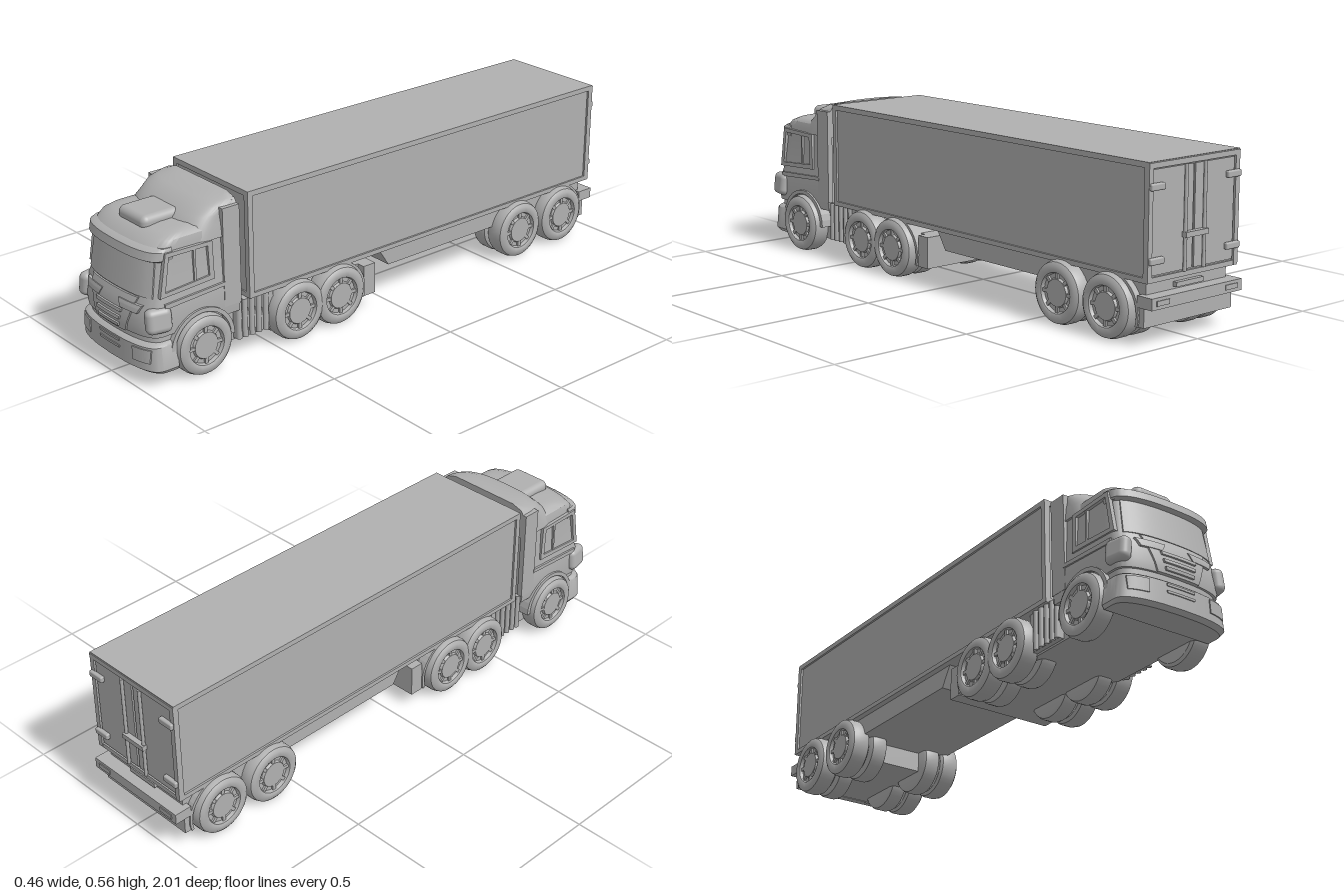
import * as THREE from 'three';
import { toCreasedNormals } from 'three/addons/utils/BufferGeometryUtils.js';
import { RoundedBoxGeometry } from 'three/addons/geometries/RoundedBoxGeometry.js';

const grey = new THREE.MeshStandardMaterial({ color: 0xb0b0b0 });
grey.name = 'plain grey';

// Cab plan sections: [y, half width, front z]
const NOSE = [[0.05, 0.205, 0.985], [0.062, 0.212, 1.0], [0.14, 0.203, 1.0], [0.146, 0.198, 0.993], [0.15, 0.188, 0.983], [0.175, 0.188, 0.983]];
const CAB = [[0.17, 0.196, 0.99], [0.2, 0.199, 0.993], [0.26, 0.198, 0.985], [0.295, 0.193, 0.972], [0.415, 0.187, 0.952],
  [0.455, 0.186, 0.945], [0.475, 0.182, 0.925], [0.488, 0.168, 0.895], [0.494, 0.14, 0.85]];
const VISOR = [[0.415, 0.188, 0.966], [0.42, 0.191, 0.974], [0.448, 0.192, 0.968], [0.456, 0.188, 0.955]];
const DEFLECTOR = [[0.44, 0.194, 0.83], [0.485, 0.189, 0.81], [0.51, 0.184, 0.785], [0.535, 0.186, 0.755], [0.55, 0.175, 0.72], [0.562, 0.135, 0.665]];

// Rounded front of a plan section; u runs from -1 to 1 across the width
const frontZ = (u, zF, depth, bow) => zF - depth + depth * Math.pow(Math.max(0, 1 - u ** 4), 0.25) - bow * u * u;

// Closed body through stacked plan sections
function loft(rows, zBack, depth = 0.06, bow = 0.018, n = 28) {
  const pos = [], idx = [], ring = n + 3;
  for (const [y, w, zF] of rows) {
    for (let i = 0; i <= n; i++) {
      const s = Math.sin((i / n - 0.5) * Math.PI);
      const u = Math.sign(s) * Math.sqrt(Math.abs(s));
      pos.push(w * u, y, Math.max(frontZ(u, zF, depth, bow), zBack + 0.002));
    }
    pos.push(w, y, zBack, -w, y, zBack);
  }
  const last = (rows.length - 1) * ring, base = rows.length * ring;
  for (const r of [rows[0], rows[rows.length - 1]]) pos.push(0, r[0], (r[2] + zBack) / 2);
  for (let i = 0; i < ring; i++) {
    const j = (i + 1) % ring;
    for (let k = 0; k < last; k += ring) idx.push(k + i, k + j, k + ring + j, k + i, k + ring + j, k + ring + i);
    idx.push(base, j, i, base + 1, last + i, last + j);
  }
  const g = new THREE.BufferGeometry();
  g.setAttribute('position', new THREE.Float32BufferAttribute(pos, 3));
  g.setIndex(idx);
  return toCreasedNormals(g, 0.6);
}

// Panel wrapped on a lofted front: spans b at the bottom y0 and t at the top y1
function panel(rows, y0, y1, b, t, off) {
  const g = new THREE.BoxGeometry(1, 1, 1, 16, 6, 1), p = g.attributes.position;
  for (let i = 0; i < p.count; i++) {
    const v = p.getY(i) + 0.5, h = p.getX(i) + 0.5, y = y0 + (y1 - y0) * v;
    const l = b[0] + (t[0] - b[0]) * v, r = b[1] + (t[1] - b[1]) * v, x = l + (r - l) * h;
    let k = 0;
    while (k < rows.length - 2 && rows[k + 1][0] < y) k++;
    const a = rows[k], c = rows[k + 1], f = (y - a[0]) / (c[0] - a[0]);
    const w = a[1] + (c[1] - a[1]) * f, u = Math.min(1, Math.abs(x) / w);
    p.setXYZ(i, x, y, frontZ(u, a[2] + (c[2] - a[2]) * f, 0.06, 0.018) + (p.getZ(i) > 0 ? off : -0.012));
  }
  return toCreasedNormals(g, 0.6);
}

// Plate in the side plane (points are [z, y]), from x to x + t
function sidePlate(points, x, t, hole) {
  const s = new THREE.Shape(points.map(([z, y]) => new THREE.Vector2(-z, y)));
  if (hole) s.holes.push(new THREE.Path(hole.map(([z, y]) => new THREE.Vector2(-z, y))));
  return new THREE.ExtrudeGeometry(s, { depth: t, bevelEnabled: false }).rotateY(Math.PI / 2).translate(x, 0, 0);
}

export function createModel() {
  const model = new THREE.Group();
  model.name = 'semi truck';
  const add = (name, geo, parent = model) => {
    const m = new THREE.Mesh(geo, grey);
    m.name = name;
    parent.add(m);
    return m;
  };
  // Box given by its minimum and maximum on each axis
  const box = (name, x0, x1, y0, y1, z0, z1, parent) =>
    add(name, new THREE.BoxGeometry(x1 - x0, y1 - y0, z1 - z0).translate((x0 + x1) / 2, (y0 + y1) / 2, (z0 + z1) / 2), parent);
  const pair = (name, x0, x1, y0, y1, z0, z1) => {
    box(name, x0, x1, y0, y1, z0, z1);
    box(name, -x1, -x0, y0, y1, z0, z1);
  };

  // Cab body
  add('bumper', loft(NOSE, 0.885));
  add('cab', loft(CAB, 0.635));
  add('sunVisor', loft(VISOR, 0.88));
  add('roofDeflector', loft(DEFLECTOR, 0.63, 0.11, 0.015));
  add('roofHatch', new RoundedBoxGeometry(0.15, 0.05, 0.145, 4, 0.022).translate(0, 0.495, 0.83));
  pair('cabFairing', 0.18, 0.2, 0.2, 0.535, 0.63, 0.695);

  // Cab front
  add('windscreen', panel(CAB, 0.296, 0.416, [-0.172, 0.172], [-0.165, 0.165], 0.004));
  add('grille', panel(CAB, 0.17, 0.292, [-0.08, 0.08], [-0.125, 0.125], 0.006));
  [0.185, 0.21, 0.236].forEach((y, i) => {
    const w = 0.054 + i * 0.006;
    add('grilleSlat', panel(CAB, y - 0.006, y + 0.005, [-w, w], [-w - 0.003, w + 0.003], 0.013));
  });
  for (const y of [0.107, 0.13]) add('bumperSlat', panel(NOSE, y - 0.004, y + 0.004, [-0.053, 0.053], [-0.055, 0.055], 0.003));
  for (const s of [-1, 1]) {
    const span = (a, b) => (s > 0 ? [a, b] : [-b, -a]);
    add('headlight', panel(CAB, 0.245, 0.272, span(0.06, 0.135), span(0.045, 0.15), 0.009));
    add('fogLamp', panel(NOSE, 0.088, 0.133, span(0.12, 0.186), span(0.118, 0.188), 0.004));
    const corner = add('cornerDeflector', new RoundedBoxGeometry(0.045, 0.082, 0.085, 4, 0.02));
    corner.position.set(s * 0.188, 0.228, 0.94);
    corner.rotation.set(0, -s * 0.2, s * 0.12);
  }

  // Cab sides
  const outer = [[0.935, 0.3], [0.73, 0.31], [0.735, 0.44], [0.91, 0.445]];
  const opening = [[0.915, 0.315], [0.748, 0.326], [0.752, 0.427], [0.898, 0.43]];
  const wheelY = 0.104;
  for (const s of [-1, 1]) {
    const x = (v, t) => (s > 0 ? v : -v - t);
    add('windowFrame', sidePlate(outer, x(0.184, 0.014), 0.014, opening));
    add('windowBar', sidePlate([[0.805, 0.32], [0.797, 0.32], [0.797, 0.43], [0.805, 0.43]], x(0.184, 0.012), 0.012));
    add('doorTrim', sidePlate([[0.92, 0.262], [0.69, 0.275], [0.69, 0.288], [0.92, 0.278]], x(0.19, 0.012), 0.012));
    // Front wheel arch
    const arch = [];
    for (let i = 0; i <= 16; i++) arch.push([0.786 + 0.122 * Math.cos(i * Math.PI / 16), wheelY + 0.122 * Math.sin(i * Math.PI / 16)]);
    for (let i = 16; i >= 0; i--) arch.push([0.786 + 0.108 * Math.cos(i * Math.PI / 16), wheelY + 0.108 * Math.sin(i * Math.PI / 16)]);
    add('wheelArch', sidePlate(arch, x(0.16, 0.046), 0.046));
  }

  // Tractor chassis
  box('tractorChassis', -0.165, 0.165, 0.055, 0.165, 0.07, 0.9);
  box('cabFloor', -0.165, 0.165, 0.16, 0.2, 0.64, 0.9);
  box('chassisEnd', -0.195, 0.195, 0.055, 0.165, 0.065, 0.115);
  box('couplingPlate', -0.1, 0.1, 0.16, 0.205, 0.18, 0.5);
  pair('sideTank', 0.1, 0.182, 0.062, 0.197, 0.49, 0.64);
  for (const z of [0.522, 0.55, 0.578, 0.606, 0.63])
    for (const s of [-1, 1])
      add('tankRib', new THREE.CylinderGeometry(0.01, 0.01, 0.135, 12).translate(s * 0.182, 0.13, z));

  // Wheels: lathe profile is [radius, distance along axle]
  const tyre = (points) => toCreasedNormals(
    new THREE.LatheGeometry(points.map(([r, h]) => new THREE.Vector2(r, h)), 40).rotateZ(-Math.PI / 2), 0.6);
  const outerTyre = tyre([[0, 0.153], [0.09, 0.153], [0.1, 0.16], [0.104, 0.172], [0.104, 0.203], [0.099, 0.219], [0.088, 0.227],
    [0.072, 0.228], [0.066, 0.225], [0.062, 0.213], [0.048, 0.213], [0.044, 0.221], [0, 0.221]]);
  const innerTyre = tyre([[0, 0.08], [0.09, 0.08], [0.1, 0.086], [0.104, 0.096], [0.104, 0.13], [0.1, 0.14], [0.09, 0.146], [0, 0.146]]);
  const spoke = new THREE.BoxGeometry(0.009, 0.018, 0.012).translate(0.2155, 0.054, 0);
  [[0.786, false], [0.41, true], [0.235, true], [-0.605, true], [-0.82, true]].forEach(([z, dual]) => {
    for (const turn of [0, Math.PI]) {
      const wheel = new THREE.Group();
      wheel.name = 'wheel';
      wheel.position.set(0, wheelY, z);
      wheel.rotation.y = turn;
      add('tyre', outerTyre, wheel);
      if (dual) add('innerTyre', innerTyre, wheel);
      for (let i = 0; i < 8; i++) add('rimLug', spoke, wheel).rotation.x = i * Math.PI / 4;
      model.add(wheel);
    }
  });

  // Mudguards behind each rear pair of wheels
  for (const z of [0.235, -0.82])
    for (const s of [-1, 1]) {
      const pts = [];
      for (const r of [0.122, 0.112])
        for (let i = 0; i <= 10; i++) {
          const a = (r > 0.12 ? i : 10 - i) / 10 * 1.75 - 0.3;
          pts.push([z - r * Math.cos(a), wheelY - 0.012 + r * Math.sin(a)]);
        }
      add('mudguard', sidePlate(pts, s > 0 ? 0.09 : -0.2, 0.11));
    }

  // Trailer box with raised edge frames
  box('trailerBox', -0.193, 0.193, 0.203, 0.56, -0.967, 0.592);
  box('trailerRoof', -0.2, 0.2, 0.547, 0.565, -0.975, 0.597);
  box('trailerFloor', -0.2, 0.2, 0.198, 0.214, -0.975, 0.597);
  pair('frontPost', 0.18, 0.2, 0.2, 0.56, 0.578, 0.597);
  pair('rearPost', 0.182, 0.2, 0.2, 0.56, -0.977, -0.957);
  box('rearHeader', -0.2, 0.2, 0.545, 0.562, -0.978, -0.96);

  // Rear doors
  pair('rearDoor', 0.004, 0.178, 0.219, 0.541, -0.973, -0.96);
  for (const s of [-1, 1]) {
    add('lockRod', new THREE.CylinderGeometry(0.006, 0.006, 0.33, 10).translate(s * 0.042, 0.38, -0.979));
    for (const y of [0.265, 0.49])
      add('hinge', new RoundedBoxGeometry(0.06, 0.022, 0.016, 2, 0.005).translate(s * 0.168, y, -0.98));
  }
  box('doorHandle', -0.05, 0.05, 0.32, 0.337, -0.991, -0.972);

  // Trailer underbody and rear bumper
  const skirt = [[0.035, 0.2], [-0.01, 0.13], [-0.95, 0.13], [-0.95, 0.2]];
  add('underbody', sidePlate(skirt, -0.178, 0.356));
  box('bogieFrame', -0.165, 0.165, 0.06, 0.14, -0.945, -0.55);
  box('rearPanel', -0.195, 0.195, 0.058, 0.13, -0.96, -0.93);
  box('rearBumper', -0.2, 0.2, 0.12, 0.157, -0.997, -0.935);
  pair('tailLamp', 0.125, 0.18, 0.131, 0.147, -1.0, -0.99);
  box('rearStep', -0.06, 0.06, 0.165, 0.18, -0.965, -0.94);
  return model;
}
